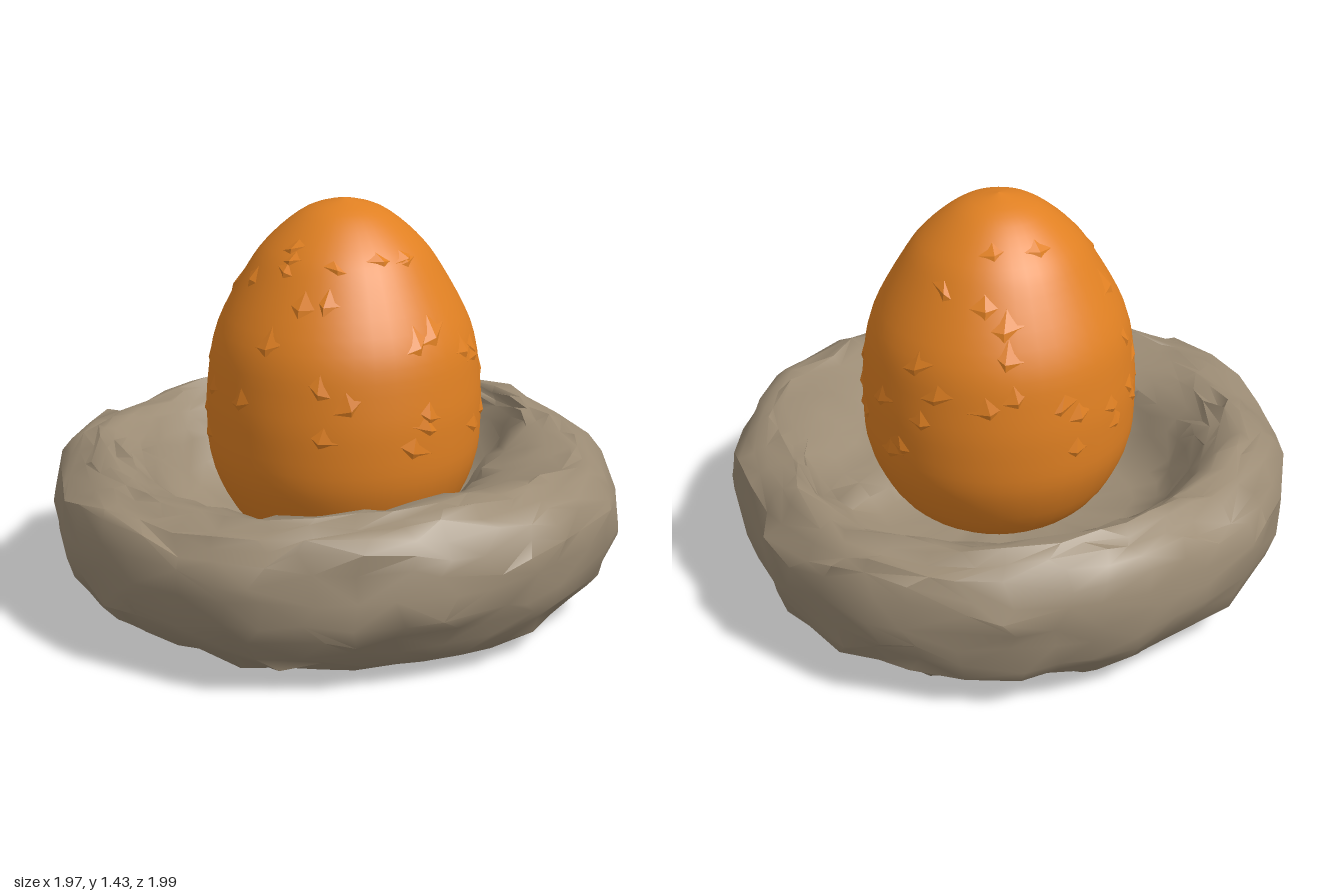
import * as THREE from 'three';
import { toCreasedNormals } from 'three/addons/utils/BufferGeometryUtils.js';

const rock = new THREE.MeshStandardMaterial({ color: 0x9c8c75 });
rock.name = 'grey brown rock';
const shell = new THREE.MeshStandardMaterial({ color: 0xe08022 });
shell.name = 'orange shell';

function seeded(seed) {
  return () => {
    seed = (seed * 1664525 + 1013904223) % 4294967296;
    return seed / 4294967296;
  };
}

// Smooth periodic interpolation of evenly spaced values around the circle
function around(values, theta) {
  const n = values.length;
  const t = ((theta / (Math.PI * 2)) % 1 + 1) % 1 * n;
  const i = Math.floor(t), f = t - i, s = f * f * (3 - 2 * f);
  return values[i % n] * (1 - s) + values[(i + 1) % n] * s;
}

// Outer radius every 15 degrees from +x towards +z
const OUTER = [
  0.97, 0.98, 0.97, 0.96, 0.97, 1.01, 0.99, 1.0, 0.995, 0.98, 0.985, 0.975,
  0.975, 0.945, 0.975, 0.965, 0.985, 1.0, 1.0, 0.985, 0.94, 0.955, 0.975, 1.0,
];
// Hollow radius and rim height every 30 degrees
const HOLLOW = [0.54, 0.6, 0.64, 0.6, 0.64, 0.68, 0.66, 0.68, 0.72, 0.77, 0.72, 0.52];
const RIM = [0.59, 0.615, 0.59, 0.565, 0.57, 0.605, 0.59, 0.605, 0.6, 0.59, 0.605, 0.58];

function nestGeometry() {
  const N = 40, M = 26, rand = seeded(23);
  const jitter = (amount) => (rand() - 0.5) * 2 * amount;
  const points = [], index = [];
  for (let i = 0; i < N; i++) {
    const a = i / N * Math.PI * 2;
    const R = around(OUTER, a), h = around(HOLLOW, a), rim = around(RIM, a);
    const shoulder = 0.5 + 0.03 * Math.sin(7 * a + 1);
    // Cross-section from the underside, round the rim and into the hollow
    const section = new THREE.SplineCurve([
      [0.002, 0.03], [0.42, 0.03], [0.72, 0.035], [R * 0.88, 0.115], [R * 0.965, 0.22],
      [R, 0.37], [R * 0.98, shoulder], [R * 0.91, rim - 0.025], [R * 0.83, rim],
      [(R * 0.83 + h) / 2, rim - 0.025], [h, rim - 0.085],
      [h - 0.08, 0.38], [h * 0.66, 0.28], [0.002, 0.25],
    ].map(([r, y]) => new THREE.Vector2(r, y)));
    for (let j = 0; j <= M; j++) {
      const p = section.getPoint(j / M);
      const rough = Math.min(1, p.x * 1.2) * (p.y < 0.06 ? 0.5 : 1);
      const r = p.x + jitter(0.016) * rough;
      const y = Math.max(0, p.y + jitter(0.018) * rough);
      const turn = a + jitter(0.05);
      points.push(new THREE.Vector3(r * Math.cos(turn), y, r * Math.sin(turn)));
    }
  }
  // Randomly turned diagonals give uneven facets
  for (let i = 0; i < N; i++) {
    for (let j = 0; j < M; j++) {
      const a = i * (M + 1) + j, b = ((i + 1) % N) * (M + 1) + j;
      if (rand() < 0.5) index.push(a, a + 1, b, b, a + 1, b + 1);
      else index.push(a, a + 1, b + 1, a, b + 1, b);
    }
  }
  const geometry = new THREE.BufferGeometry().setFromPoints(points);
  geometry.setIndex(index);
  return toCreasedNormals(geometry, 0.8);
}

// Egg outline from the base to the tip
const outline = new THREE.SplineCurve([
  [0.001, 0.2], [0.2, 0.235], [0.36, 0.34], [0.455, 0.52], [0.474, 0.69], [0.467, 0.84],
  [0.435, 1.01], [0.33, 1.21], [0.25, 1.315], [0.13, 1.41], [0.001, 1.447],
].map(([r, y]) => new THREE.Vector2(r, y)));

function onEgg(t, angle, raise) {
  const p = outline.getPoint(t), d = outline.getTangent(t);
  const r = p.x + d.y * raise;
  return new THREE.Vector3(r * Math.cos(angle), p.y - d.x * raise, r * Math.sin(angle));
}

// Low, wide flakes that break the shell surface
function flakeGeometry() {
  const rand = seeded(5), corners = [];
  for (let k = 0; k < 56; k++) {
    const t = 0.36 + 0.46 * rand();
    const angle = k * 2.399963 + rand() * 0.5;
    const w = (0.035 + rand() * 0.035) / outline.getPoint(t).x;
    const skew = (rand() - 0.5) * 0.03;
    const bend = (rand() - 0.5) * w;
    const a = onEgg(t + skew, angle + w, -0.001);
    const b = onEgg(t - skew, angle - w, -0.001);
    const c = onEgg(t + 0.035, angle, -0.002);
    const lip = onEgg(t - 0.006, angle + bend, 0.008);
    const foot = onEgg(t - 0.018, angle + bend, -0.001);
    corners.push(a, lip, c, lip, b, c, a, foot, lip, foot, b, lip);
  }
  const geometry = new THREE.BufferGeometry().setFromPoints(corners);
  geometry.computeVertexNormals();
  return geometry;
}

export function createModel() {
  const model = new THREE.Group();
  model.name = 'eggInRockNest';

  const nest = new THREE.Mesh(nestGeometry(), rock);
  nest.name = 'rockNest';
  model.add(nest);

  // The egg is slightly deeper than wide
  const egg = new THREE.Group();
  egg.name = 'egg';
  egg.position.set(0.036, 0, 0.004);
  egg.scale.z = 1.02;
  const body = new THREE.Mesh(new THREE.LatheGeometry(outline.getPoints(40), 40), shell);
  body.name = 'eggShell';
  const flakes = new THREE.Mesh(flakeGeometry(), shell);
  flakes.name = 'shellFlakes';
  egg.add(body, flakes);
  model.add(egg);
  return model;
}
